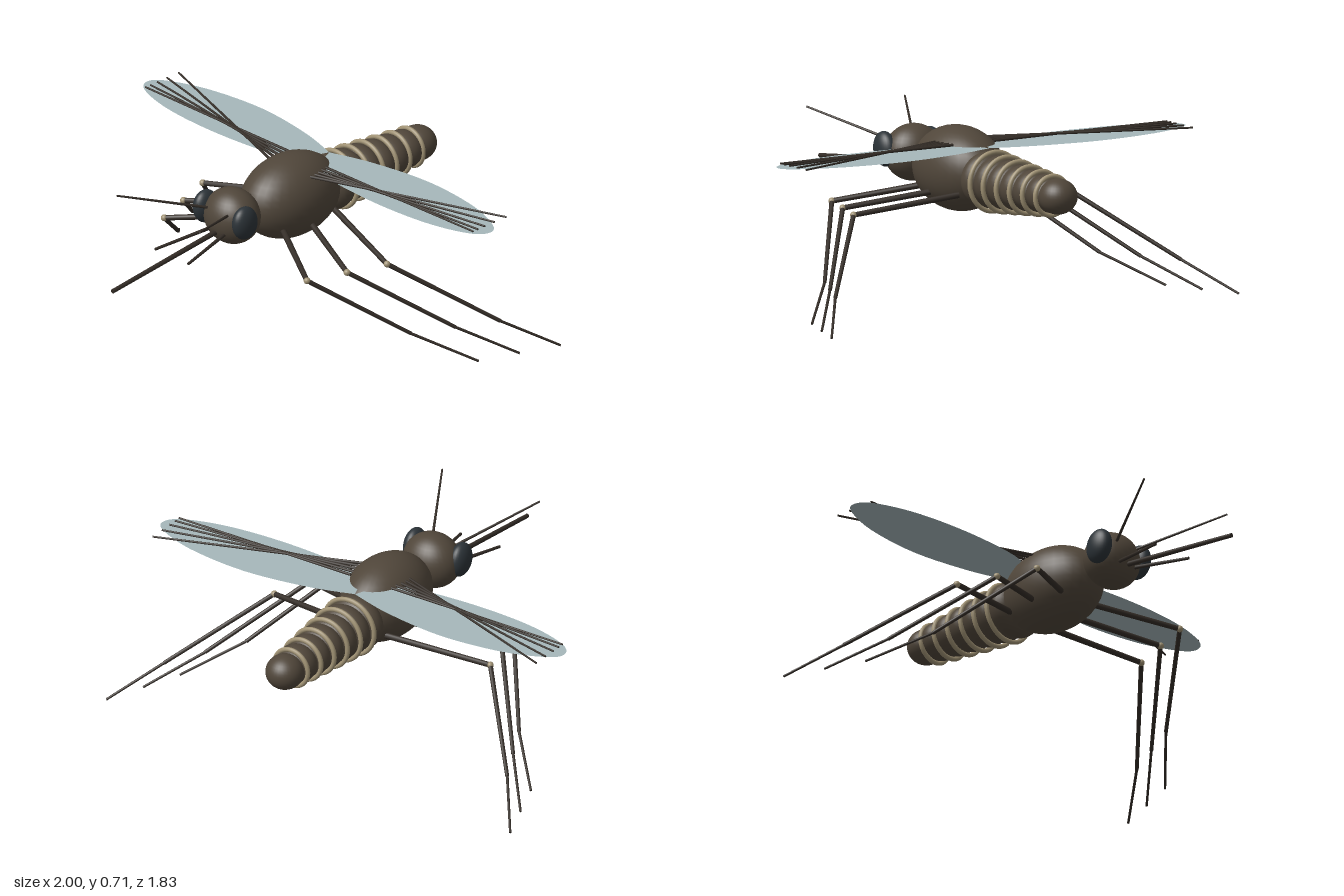
import * as THREE from 'three';

const mat = (color, side = THREE.FrontSide) => new THREE.MeshStandardMaterial({ color, side });

export function createModel() {
  const model = new THREE.Group();
  const body = mat(0x50463a), limb = mat(0x342d27), tan = mat(0xa09274);
  const eyeMat = mat(0x2c3338), wingMat = mat(0xa6b8bb, THREE.DoubleSide);

  function add(name, geometry, material, parent = model) {
    const mesh = new THREE.Mesh(geometry, material);
    mesh.name = name;
    parent.add(mesh);
    return mesh;
  }

  function ellipsoid(name, [x, y, z], [rx, ry, rz], material, parent) {
    const mesh = add(name, new THREE.SphereGeometry(1, 32, 20), material, parent);
    mesh.position.set(x, y, z);
    mesh.scale.set(rx, ry, rz);
    return mesh;
  }

  // Straight tapered rod between two points
  function rod(name, from, to, r0, r1, material, parent) {
    const a = new THREE.Vector3(...from), b = new THREE.Vector3(...to);
    const dir = b.clone().sub(a);
    const mesh = add(name, new THREE.CylinderGeometry(r1, r0, dir.length(), 10), material, parent);
    mesh.position.copy(a).add(b).multiplyScalar(0.5);
    mesh.quaternion.setFromUnitVectors(new THREE.Vector3(0, 1, 0), dir.normalize());
    return mesh;
  }

  // Thorax, head and mouth
  ellipsoid('thorax', [0, 0.538, -0.105], [0.163, 0.176, 0.242], body);
  ellipsoid('head', [0, 0.557, 0.228], [0.126, 0.118, 0.108], body);
  rod('proboscis', [0, 0.515, 0.3], [0, 0.447, 0.915], 0.011, 0.009, limb);

  // Abdomen: overlapping tapering segments with pale bands between
  const abdomen = new THREE.Group();
  abdomen.name = 'abdomen';
  model.add(abdomen);
  for (let i = 0; i < 7; i++) {
    const r = 0.128 - i * 0.008;
    ellipsoid('abdomenSegment', [0, 0.52, -0.328 - i * 0.0845], [r, r * 0.92, 0.08], body, abdomen);
    if (i === 6) break;
    const band = add('abdomenBand', new THREE.TorusGeometry(0.122 - i * 0.0082, 0.01, 10, 40), tan, abdomen);
    band.position.set(0, 0.517, -0.37 - i * 0.0837);
  }

  for (const s of [1, -1]) {
    const side = s > 0 ? 'left' : 'right';

    // Eye, feeler and palp
    const eye = ellipsoid(side + 'Eye', [s * 0.113, 0.574, 0.268], [0.04, 0.073, 0.062], eyeMat);
    eye.rotation.x = 0.2;
    rod(side + 'Antenna', [s * 0.05, 0.597, 0.3], [s * 0.24, 0.707, 0.652], 0.006, 0.004, limb);
    rod(side + 'Palp', [s * 0.04, 0.515, 0.3], [s * 0.096, 0.488, 0.575], 0.008, 0.006, limb);

    // Wing membrane
    const wing = new THREE.Group();
    wing.name = side + 'Wing';
    model.add(wing);
    const outline = [
      [0.2, 0.388], [0.48, 0.423], [0.75, 0.397], [0.93, 0.335], [0.99, 0.275],
      [0.94, 0.205], [0.75, 0.148], [0.48, 0.13], [0.2, 0.15], [0.05, 0.2],
    ].map(([x, y]) => new THREE.Vector2(s * x, y));
    const shape = new THREE.Shape();
    shape.moveTo(0, 0.33);
    shape.splineThru(outline);
    shape.closePath();
    const membrane = add('wingMembrane', new THREE.ShapeGeometry(shape, 5), wingMat, wing);
    membrane.rotation.x = -Math.PI / 2;
    membrane.position.y = 0.649;

    // Veins fan out and cross over the membrane
    [-0.405, -0.338, -0.283, -0.243, -0.215].forEach((z, i) =>
      rod('wingVein', [s * 0.1, 0.655, -0.1 - i * 0.028], [s * 0.945, 0.657, z], 0.006, 0.004, limb, wing));

    // Legs: each set steps outward and backward
    ['front', 'middle', 'rear'].forEach((place, i) => {
      const leg = new THREE.Group();
      leg.name = side + place[0].toUpperCase() + place.slice(1) + 'Leg';
      model.add(leg);
      const dz = -0.17 * i;
      const hip = [s * 0.1, 0.455, 0.035 - 0.145 * i];
      const knee = [s * (0.412 + 0.06 * i), 0.395, 0.208 + dz];
      const ankle = [s * (0.672 + 0.087 * i), 0.13, -0.13 + dz];
      const foot = [s * (0.865 + 0.065 * i), 0.004, -0.327 + dz];
      rod('femur', hip, knee, 0.013, 0.011, limb, leg);
      ellipsoid('knee', knee, [0.014, 0.014, 0.014], tan, leg);
      rod('tibia', knee, ankle, 0.01, 0.008, limb, leg);
      rod('tarsus', ankle, foot, 0.006, 0.005, limb, leg);
    });
  }
  return model;
}
